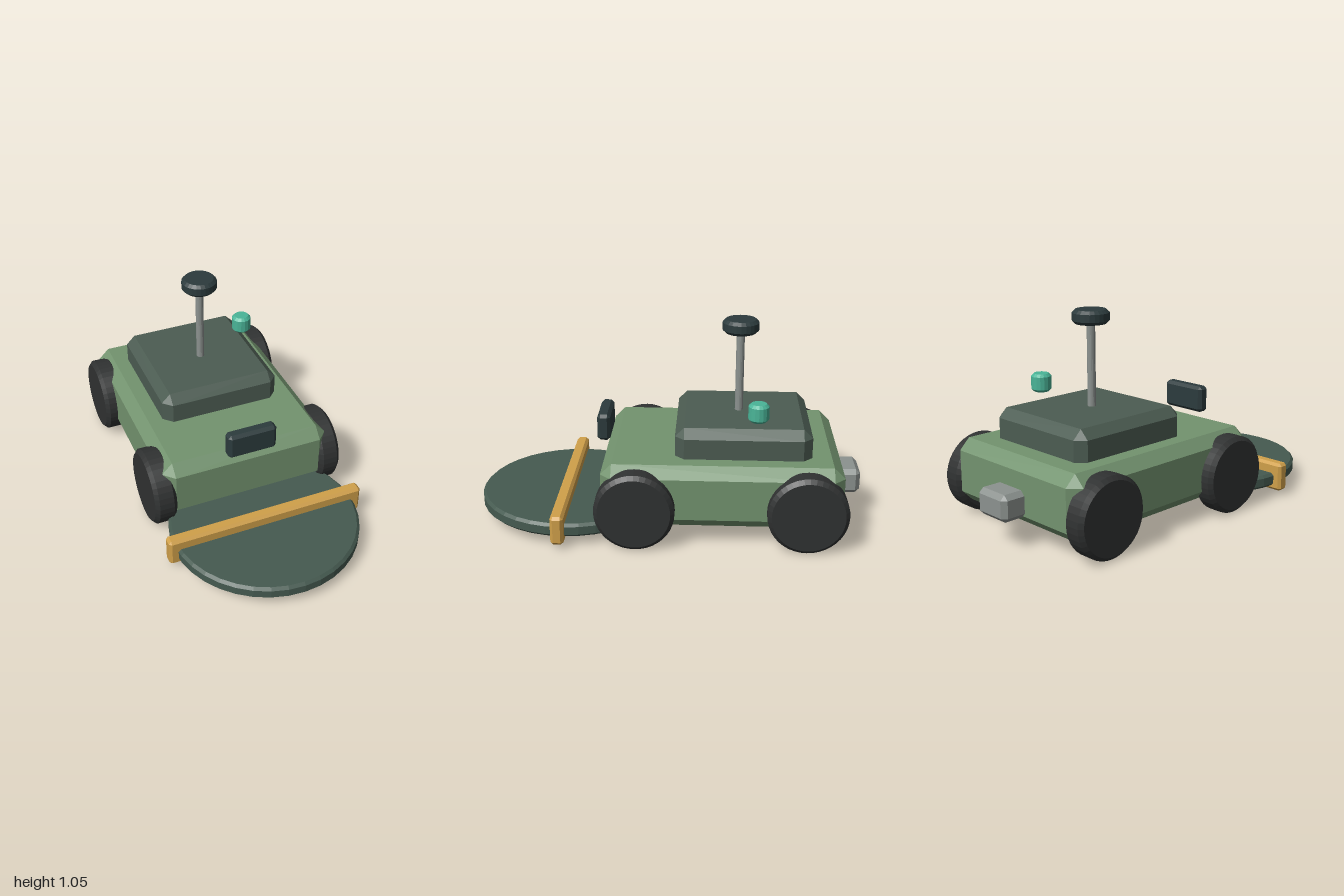
import * as THREE from 'three';
import { ConvexGeometry } from 'three/addons/geometries/ConvexGeometry.js';

const mat = (color) => new THREE.MeshStandardMaterial({ color, flatShading: true });
const MATS = {
  body: mat(0x73936f), deck: mat(0x4c5c52), dark: mat(0x2c3b3d), tyre: mat(0x303232),
  metal: mat(0x8c928f), orange: mat(0xd0a04a), teal: mat(0x4ab598), disc: mat(0x455a50),
};

// Box with every edge cut at 45 degrees, given by its min and max corners
function chamferBox([x0, y0, z0], [x1, y1, z1], c) {
  const h = [(x1 - x0) / 2, (y1 - y0) / 2, (z1 - z0) / 2];
  const points = [];
  for (const sx of [-1, 1]) for (const sy of [-1, 1]) for (const sz of [-1, 1]) {
    for (let axis = 0; axis < 3; axis++) {
      const p = h.map((v, i) => (i === axis ? v : v - c));
      points.push(new THREE.Vector3(sx * p[0], sy * p[1], sz * p[2]));
    }
  }
  return new ConvexGeometry(points).translate((x0 + x1) / 2, (y0 + y1) / 2, (z0 + z1) / 2);
}

// Upright cylinder with chamfered rims, centred on the origin
function chamferCylinder(r, height, c, sides) {
  const h = height / 2;
  const profile = [[0, -h], [r - c, -h], [r, -h + c], [r, h - c], [r - c, h], [0, h]];
  return new THREE.LatheGeometry(profile.map(([x, y]) => new THREE.Vector2(x, y)), sides);
}

export function createModel() {
  const model = new THREE.Group();
  model.name = 'roverMower';
  const add = (name, geometry, material) => {
    const mesh = new THREE.Mesh(geometry, material);
    mesh.name = name;
    model.add(mesh);
    return mesh;
  };

  // Chassis and raised deck
  add('body', chamferBox([-0.455, 0.09, -0.88], [0.455, 0.415, 0.325], 0.056), MATS.body);
  add('deck', chamferBox([-0.323, 0.34, -0.725], [0.323, 0.565, -0.04], 0.046), MATS.deck);

  // Front sensor and rear hitch block
  add('frontSensor', chamferBox([-0.13, 0.425, 0.3], [0.13, 0.565, 0.367], 0.016), MATS.dark);
  add('rearBlock', chamferBox([-0.104, 0.138, -1], [0.104, 0.272, -0.84], 0.024), MATS.metal);

  // Mast with its antenna cap
  add('mast', new THREE.CylinderGeometry(0.021, 0.021, 0.46, 16), MATS.metal)
    .position.set(0, 0.77, -0.361);
  add('antennaCap', chamferCylinder(0.093, 0.07, 0.016, 24), MATS.dark)
    .position.set(0, 1.015, -0.361);

  // Beacon
  add('beacon', chamferCylinder(0.052, 0.093, 0.014, 16), MATS.teal)
    .position.set(0.281, 0.655, -0.452);

  // Wheels
  const wheel = chamferCylinder(0.2, 0.117, 0.02, 40).rotateZ(Math.PI / 2);
  for (const [end, z] of [['front', 0.152], ['rear', -0.7]]) {
    for (const [side, s] of [['Left', 1], ['Right', -1]]) {
      add(`${end}${side}Wheel`, wheel, MATS.tyre).position.set(s * 0.459, 0.2, z);
    }
  }

  // Cutter disc, guard bar and crossed blades
  const cz = 0.513;
  add('cutterDisc', chamferCylinder(0.487, 0.07, 0.014, 36), MATS.disc).position.set(0, 0.085, cz);
  add('guardBar', chamferBox([-0.528, 0.026, 0.5], [0.528, 0.177, 0.566], 0.014), MATS.orange);
  const blade = chamferBox([-0.39, 0.024, -0.027], [0.39, 0.052, 0.027], 0.007);
  for (let i = 0; i < 2; i++) {
    const mesh = add(`blade${i + 1}`, blade, MATS.metal);
    mesh.position.z = cz;
    mesh.rotation.y = i * Math.PI / 2;
  }
  return model;
}
